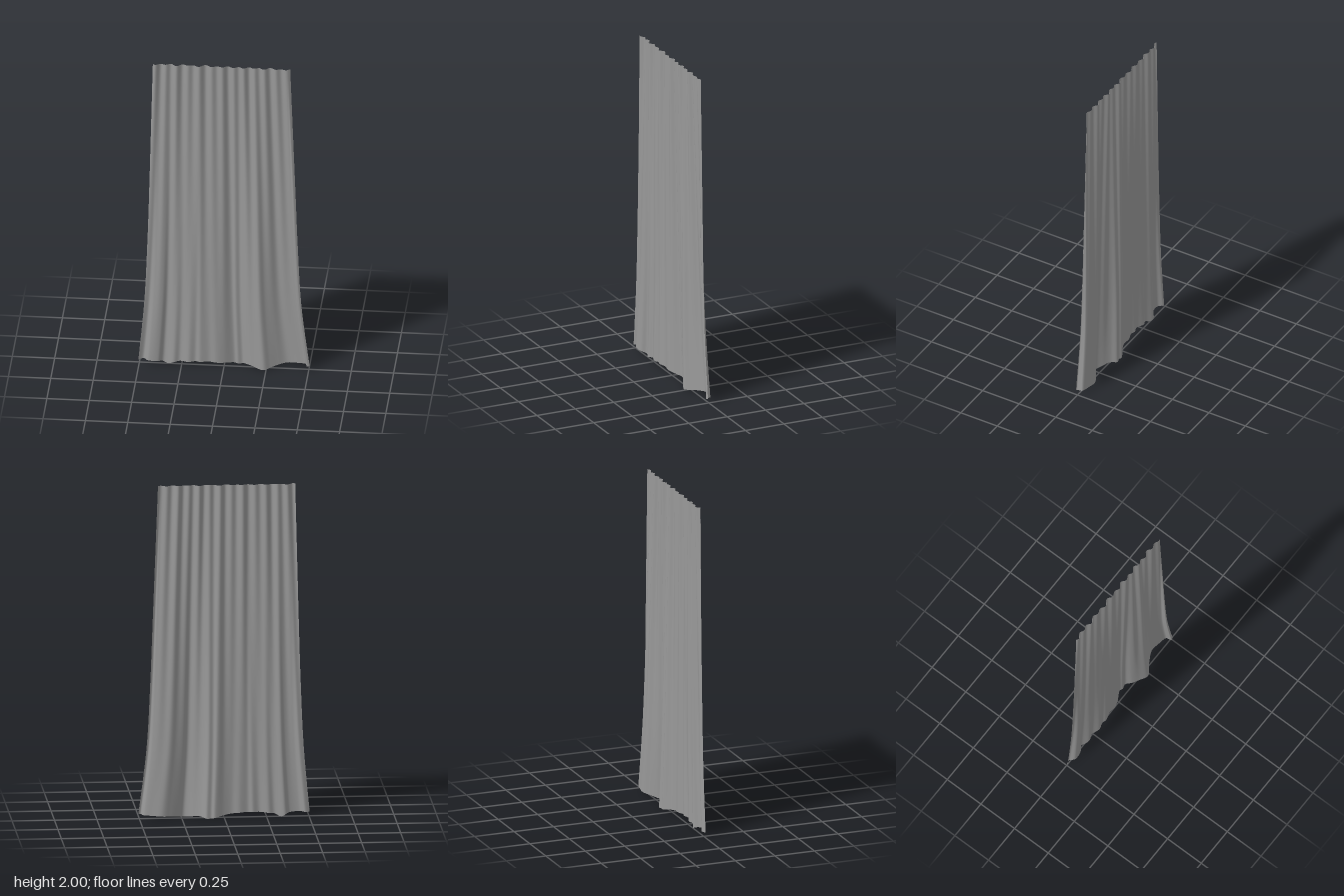
import * as THREE from 'three';

const COLS = 220, ROWS = 40;

// Find the second coordinate of a smooth curve at a given first coordinate
function sampler(pts) {
  const samples = new THREE.SplineCurve(pts.map(([a, b]) => new THREE.Vector2(a, b))).getPoints(600);
  return a => {
    const i = samples.findIndex(p => p.x >= a);
    if (i < 0) return samples[samples.length - 1].y;
    if (i === 0) return samples[0].y;
    const p = samples[i - 1], q = samples[i];
    return p.y + (q.y - p.y) * (a - p.x) / (q.x - p.x || 1);
  };
}

// Side edges: height fraction from the top -> x
const leftEdge = sampler([[0, 0.39], [0.4, 0.42], [0.6, 0.435], [0.8, 0.457], [1, 0.505]]);
const rightEdge = sampler([[0, -0.42], [0.4, -0.44], [0.6, -0.452], [0.8, -0.47], [1, -0.505]]);

// Loose folds at the hem: x -> z
const hemDepth = sampler([
  [-0.505, 0.01], [-0.475, -0.004], [-0.445, 0.022], [-0.39, 0.018], [-0.355, -0.008],
  [-0.3, 0.014], [-0.26, 0.002], [-0.21, 0.02], [-0.17, 0.008], [-0.14, 0.016],
  [-0.09, 0.002], [-0.045, 0.006], [0, -0.008],
  [0.055, -0.038], [0.08, -0.032], [0.11, -0.038], [0.14, -0.01], [0.18, 0.012],
  [0.235, 0.036], [0.275, 0.01], [0.32, -0.018], [0.37, -0.04], [0.43, -0.032],
  [0.478, -0.02], [0.488, 0.012], [0.505, 0.008]
]);

// Uneven hem line: x -> y
const hemHeight = sampler([
  [-0.505, 0.022], [-0.46, 0.025], [-0.38, 0.019], [-0.335, 0], [-0.29, 0.017],
  [-0.2, 0.025], [-0.1, 0.025], [0, 0.015], [0.09, 0], [0.15, 0.01],
  [0.23, 0], [0.31, 0.012], [0.4, 0.021], [0.505, 0.026]
]);

// Small, slightly irregular pleats along the top edge
const topDepth = u => 0.006 + 0.008 * Math.sin(u * Math.PI * 25 + 0.6 * Math.sin(u * 9))
  + 0.004 * Math.sin(u * 41 + 1);

export function createModel() {
  const group = new THREE.Group();
  group.name = 'curtain';

  // Hanging cloth: top pleats relax into broad folds towards the hem
  const cloth = new THREE.PlaneGeometry(1, 1, COLS, ROWS);
  const pos = cloth.attributes.position;
  const columns = Array.from({ length: COLS + 1 }, (_, c) => {
    const u = c / COLS, hemX = -0.505 + 1.01 * u;
    return { u, top: topDepth(u), hem: hemDepth(hemX), low: hemHeight(hemX) };
  });
  for (let r = 0; r <= ROWS; r++) {
    const t = r / ROWS;
    const x0 = rightEdge(t), x1 = leftEdge(t);
    const blend = Math.pow(t, 1.1);
    for (let c = 0; c <= COLS; c++) {
      const { u, top, hem, low } = columns[c];
      const crown = 2 - 0.003 * (1 - Math.cos(u * Math.PI * 16)) / 2;
      pos.setXYZ(r * (COLS + 1) + c,
        x0 + (x1 - x0) * u,
        crown + (low - crown) * t,
        top + (hem - top) * blend);
    }
  }
  cloth.computeVertexNormals();

  const mesh = new THREE.Mesh(cloth,
    new THREE.MeshStandardMaterial({ color: 0x999999, side: THREE.DoubleSide }));
  mesh.name = 'curtainCloth';
  group.add(mesh);
  return group;
}
